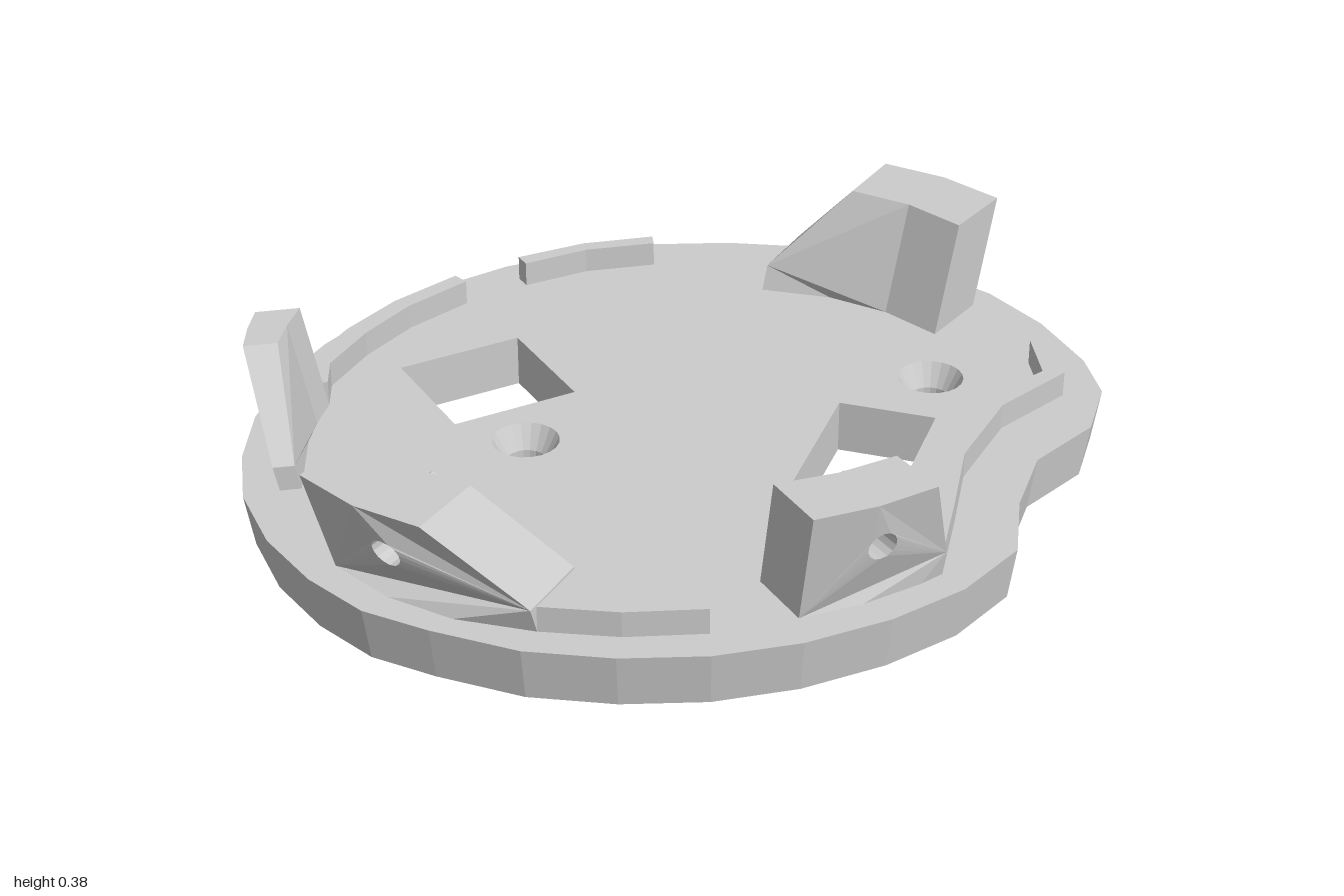
import * as THREE from 'three';

const PLATE = 0.125, RIB = 0.185, TOP = 0.385;
const material = new THREE.MeshStandardMaterial({ color: 0xcccccc, flatShading: true, side: THREE.DoubleSide });
const v2 = ([x, y]) => new THREE.Vector2(x, y);
const lerp = THREE.MathUtils.lerp;

function addMesh(parent, name, geometry) {
  const mesh = new THREE.Mesh(geometry, material);
  mesh.name = name;
  parent.add(mesh);
  return mesh;
}

// Upright slab from plan points [x, z]
function slab(points, y0, y1, holes = []) {
  const flip = (list) => list.map(([x, z]) => new THREE.Vector2(x, -z));
  const shape = new THREE.Shape(flip(points));
  shape.holes = holes.map((h) => new THREE.Path(flip(h)));
  const geometry = new THREE.ExtrudeGeometry(shape, { depth: y1 - y0, bevelEnabled: false });
  return geometry.rotateX(-Math.PI / 2).translate(0, y0, 0);
}

function ringPoints(cx, cy, rx, ry, n, turn = 0) {
  return Array.from({ length: n }, (_, i) => {
    const a = turn + (i / n) * Math.PI * 2;
    return [cx + rx * Math.cos(a), cy + ry * Math.sin(a)];
  });
}

// Layer of a post: profile (u along the rim, y up) extruded from t0 to t1
// (0 = inner face, 1 = outer face), then bent and leaned outward.
function postLayer(p, profile, hole, t0, t1) {
  const shape = new THREE.Shape(profile.map(v2));
  if (hole) shape.holes.push(new THREE.Path(hole.map(v2)));
  const geometry = new THREE.ExtrudeGeometry(shape, { depth: t1 - t0, bevelEnabled: false });
  const pos = geometry.attributes.position;
  const dx = p.in1[0] - p.in0[0], dz = p.in1[1] - p.in0[1], len = Math.hypot(dx, dz);
  for (let i = 0; i < pos.count; i++) {
    const u = pos.getX(i), y = pos.getY(i), t = pos.getZ(i) + t0;
    const bulge = 4 * u * (1 - u) * p.bulge / len, lean = (y - PLATE) / (TOP - PLATE);
    const at = (k) => lerp(lerp(p.in0[k], p.in1[k], u), lerp(p.out0[k], p.out1[k], u), t);
    pos.setXYZ(i, at(0) - dz * bulge + p.lean[0] * lean, y, at(1) + dx * bulge + p.lean[1] * lean);
  }
  geometry.computeVertexNormals();
  return geometry;
}

function buildPost(name, p) {
  const group = new THREE.Group();
  group.name = name;
  const s = p.shoulder;
  const profile = [[0, PLATE], [s / 2, PLATE], [s, PLATE], [1, PLATE], [1, RIB], [s, TOP], [s / 2, TOP], [0, TOP]];
  if (!p.nut) {
    addMesh(group, 'postBody', postLayer(p, profile, null, 0, 1));
    return group;
  }
  // Screw hole through the outer half, hexagonal nut pocket in the inner half
  const len = Math.hypot(p.in1[0] - p.in0[0], p.in1[1] - p.in0[1]);
  const ring = (r, n) => ringPoints(p.nut, 0.272, r / len, r, n, Math.PI / 2);
  addMesh(group, 'postOuterHalf', postLayer(p, profile, ring(0.033, 14), 0.5, 1));
  addMesh(group, 'postInnerHalf', postLayer(p, profile, ring(0.07, 6), 0, 0.5));
  addMesh(group, 'nutCollar', postLayer(p, ring(0.102, 6), ring(0.07, 6), -0.12, 0));
  return group;
}

export function createModel() {
  const model = new THREE.Group();
  model.name = 'mountingPlate';

  // Base plate with a notched rim that narrows toward the bottom
  const quarter = [[-1, 0], [-0.98, -0.19], [-0.92, -0.35], [-0.83, -0.5], [-0.71, -0.635],
    [-0.555, -0.745], [-0.385, -0.83], [-0.2, -0.88]];
  const outline = [
    ...quarter, [0, -0.9], ...quarter.map(([x, z]) => [-x, z]).reverse(),
    [0.98, 0.2], [0.93, 0.34], [0.81, 0.46], [0.62, 0.52], [0.48, 0.65], [0.37, 0.8], [0.19, 0.87],
    [0, 0.89], [-0.2, 0.875], [-0.385, 0.825], [-0.555, 0.74], [-0.71, 0.625], [-0.84, 0.47],
    [-0.93, 0.34], [-0.98, 0.18],
  ];
  const screws = [[-0.335, -0.11], [0.62, 0.09]];
  const windows = [
    [[-0.445, -0.55], [-0.14, -0.55], [-0.14, -0.25], [-0.445, -0.25]],
    [[0.37, 0.09], [0.525, 0.255], [0.18, 0.57], [0.025, 0.4]],
  ];
  const plate = slab(outline, 0, PLATE, [...windows, ...screws.map(([x, z]) => ringPoints(x, z, 0.077, 0.077, 20))]);
  const pos = plate.attributes.position;
  for (let i = 0; i < pos.count; i++) {
    const x = pos.getX(i), z = pos.getZ(i);
    if (pos.getY(i) < 0.01 && Math.hypot(x, z) > 0.75) pos.setXYZ(i, x * 0.98, 0, z * 0.98);
  }
  plate.computeVertexNormals();
  addMesh(model, 'basePlate', plate);

  // Countersunk screw holes
  const sink = [[0.077, 0], [0.047, 0], [0.047, 0.07], [0.077, PLATE]].map(v2);
  for (const [x, z] of screws) {
    addMesh(model, 'countersunkHole', new THREE.LatheGeometry(sink, 20, Math.PI / 2)).position.set(x, 0, z);
  }

  // Low locating ribs near the rim: outer edge, then inner edge back
  const ribs = {
    backRightRib: [[-0.18, -0.81], [-0.365, -0.76], [-0.52, -0.685], [-0.68, -0.57], [-0.76, -0.5],
      [-0.66, -0.47], [-0.62, -0.55], [-0.49, -0.645], [-0.345, -0.72], [-0.17, -0.77]],
    backRib: [[0, -0.825], [0.175, -0.815], [0.345, -0.765], [0.33, -0.73], [0.165, -0.78], [0, -0.785]],
    frontLeftRib: [[0.125, 0.71], [0.27, 0.625], [0.4, 0.465], [0.61, 0.315], [0.8, 0.28], [0.86, 0.145],
      [0.9, 0.155], [0.84, 0.31], [0.63, 0.365], [0.435, 0.5], [0.31, 0.65], [0.18, 0.8]],
    frontRightRib: [[-0.5, 0.48], [-0.48, 0.645], [-0.33, 0.72], [-0.35, 0.755], [-0.51, 0.68], [-0.65, 0.58]],
  };
  for (const [name, points] of Object.entries(ribs)) addMesh(model, name, slab(points, PLATE, RIB));

  // Tall posts leaning outward, each with one sloped shoulder
  const side = { in0: [-0.745, 0.08], in1: [-0.5, 0.48], out0: [-0.91, 0.16], out1: [-0.65, 0.58],
    lean: [-0.075, 0.03], bulge: 0.05, shoulder: 0.65 };
  model.add(buildPost('frontRightPost', { ...side, nut: 0.42 }));
  const opposite = buildPost('backLeftPost', side);
  opposite.rotation.y = Math.PI;
  model.add(opposite);
  model.add(buildPost('frontPost', { in0: [-0.165, 0.64], in1: [0.17, 0.66], out0: [-0.165, 0.795],
    out1: [0.18, 0.8], lean: [0, 0.045], bulge: 0.018, shoulder: 0.83, nut: 0.485 }));
  model.add(buildPost('backRightPost', { in0: [-0.66, -0.47], in1: [-0.855, -0.16], out0: [-0.755, -0.5],
    out1: [-0.9, -0.175], lean: [-0.05, -0.01], bulge: 0.02, shoulder: 0.45 }));
  return model;
}
